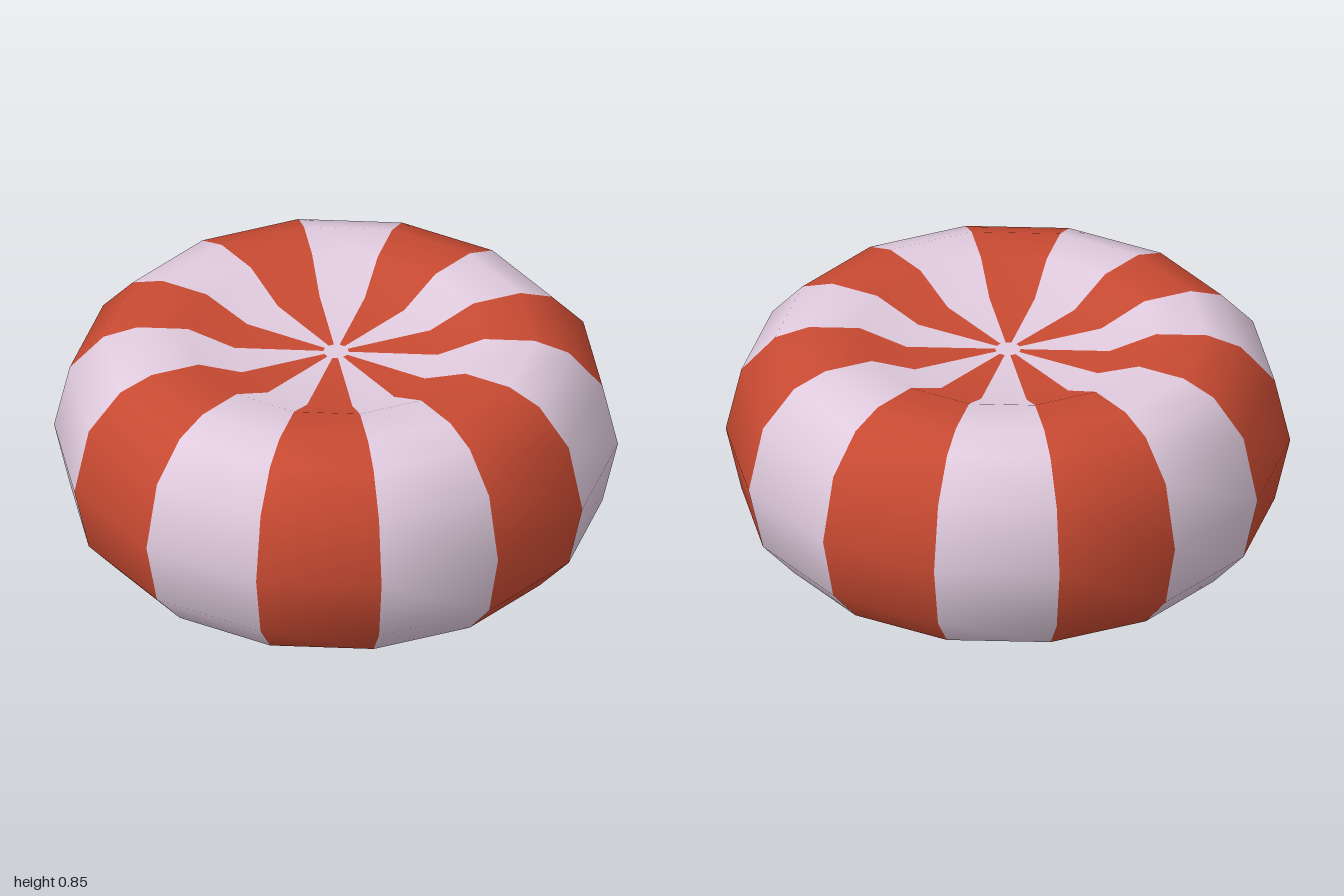
import * as THREE from 'three';

const SIDES = 14;
const HEIGHT = 0.845;

// Upper half of the cushion profile: [radius, y], equator to centre dimple
const UPPER = [
  [1.0, HEIGHT / 2], [0.945, 0.665], [0.825, 0.8], [0.705, HEIGHT],
  [0.525, HEIGHT], [0.36, 0.772], [0.045, 0.772], [0, 0.772],
];

export function createModel() {
  const red = new THREE.MeshStandardMaterial({ color: 0xc84a32 });
  red.name = 'stripe red';
  const pale = new THREE.MeshStandardMaterial({ color: 0xe0cbde });
  pale.name = 'pale lilac';

  // Mirror the upper profile downwards, then run it bottom to top
  const lower = UPPER.slice(1).reverse().map(([r, y]) => [r, HEIGHT - y]);
  const profile = [...lower, ...UPPER].map(([r, y]) => new THREE.Vector2(r, y));
  const geometry = new THREE.LatheGeometry(profile, SIDES);

  // Alternate the colour of each wedge; the small hubs stay pale
  const wedge = (profile.length - 1) * 6;
  for (let i = 0; i < SIDES; i++) {
    const start = i * wedge;
    geometry.addGroup(start, 6, 1);
    geometry.addGroup(start + 6, wedge - 12, i % 2);
    geometry.addGroup(start + wedge - 6, 6, 1);
  }

  const cushion = new THREE.Mesh(geometry, [red, pale]);
  cushion.name = 'stripedCushion';

  const group = new THREE.Group();
  group.name = 'roundStripedCushion';
  group.add(cushion);
  return group;
}
